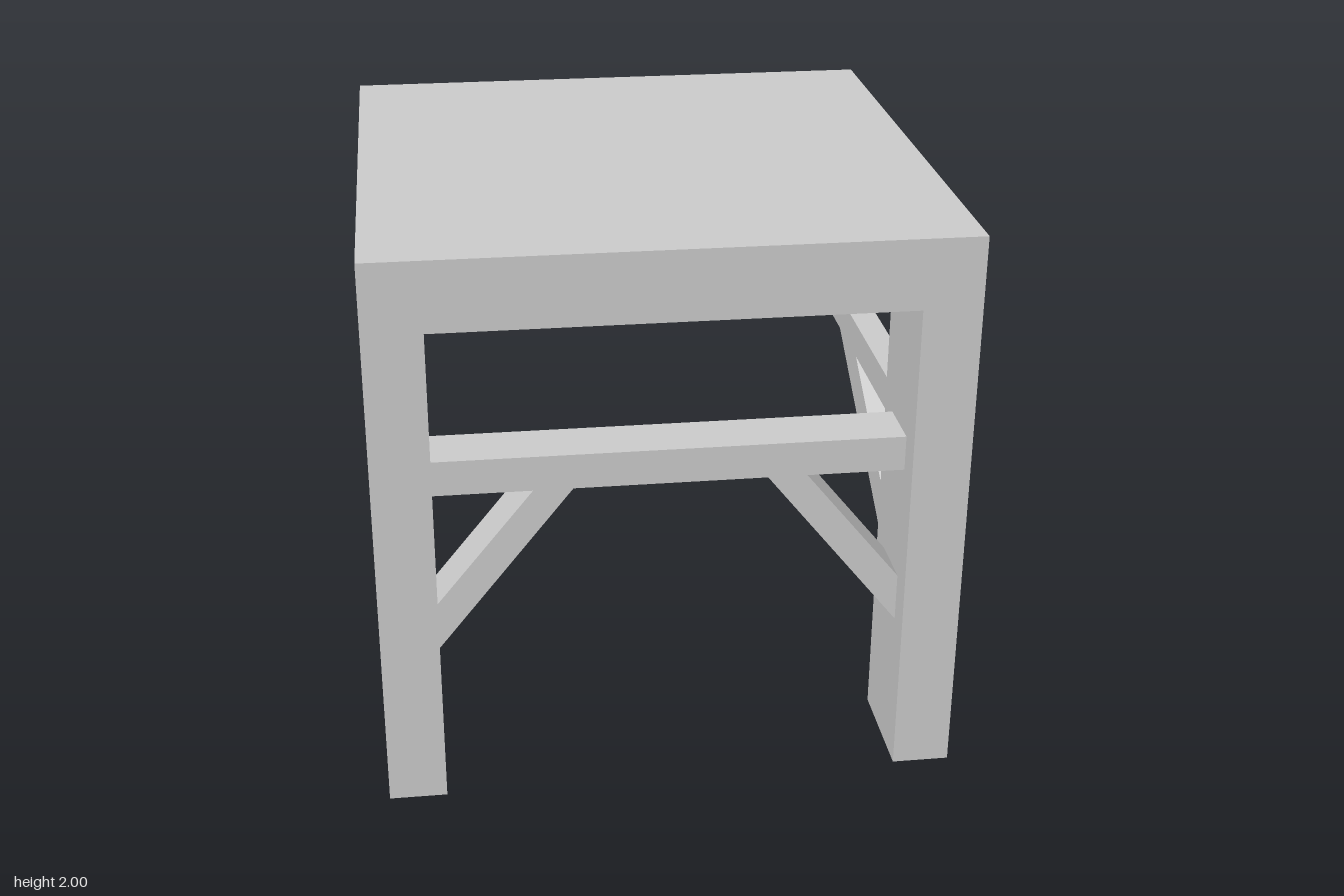
import * as THREE from 'three';

const material = new THREE.MeshStandardMaterial({ color: 0xcccccc, flatShading: true });

// Box given by its minimum and maximum corners
function box(name, [x0, y0, z0], [x1, y1, z1]) {
  const mesh = new THREE.Mesh(new THREE.BoxGeometry(x1 - x0, y1 - y0, z1 - z0), material);
  mesh.name = name;
  mesh.position.set((x0 + x1) / 2, (y0 + y1) / 2, (z0 + z1) / 2);
  return mesh;
}

// Slanted brace: an outline in x/y, extruded evenly about z = 0
function brace(name, points, thickness) {
  const shape = new THREE.Shape(points.map(([x, y]) => new THREE.Vector2(x, y)));
  const geometry = new THREE.ExtrudeGeometry(shape, { depth: thickness, bevelEnabled: false });
  geometry.translate(0, 0, -thickness / 2);
  const mesh = new THREE.Mesh(geometry, material);
  mesh.name = name;
  return mesh;
}

export function createModel() {
  const group = new THREE.Group();
  group.name = 'table';

  const slabBottom = 1.755, railBottom = 1.13, railTop = 1.255;

  // Thick top and the rail between the two front legs
  group.add(box('tableTop', [-1, slabBottom, -1], [1, 2, 1]));
  group.add(box('frontRail', [-0.8, railBottom, 0.7], [0.8, railTop, 0.9]));

  for (const [side, s] of [['left', 1], ['right', -1]]) {
    const x = 0.9 * s;

    // Front leg and the side rail reaching back from it
    group.add(box(side + 'Leg', [x - 0.1, 0, 0.6], [x + 0.1, slabBottom, 1]));
    group.add(box(side + 'SideRail', [x - 0.05, railBottom, -1], [x + 0.05, railTop, 0.6]));

    // Brace from the leg up to the front rail
    const frontBrace = brace(side + 'FrontBrace',
      [[0.8 * s, 0.54], [0.8 * s, 0.715], [0.465 * s, railBottom], [0.33 * s, railBottom]], 0.2);
    frontBrace.position.z = 0.8;
    group.add(frontBrace);

    // Brace from the leg up to the side rail, outline turned to run backwards
    const sideBrace = brace(side + 'SideBrace',
      [[-0.6, 0.54], [0.345, railBottom], [0.06, railBottom], [-0.6, 0.715]], 0.1);
    sideBrace.rotation.y = Math.PI / 2;
    sideBrace.position.x = x;
    group.add(sideBrace);
  }
  return group;
}
